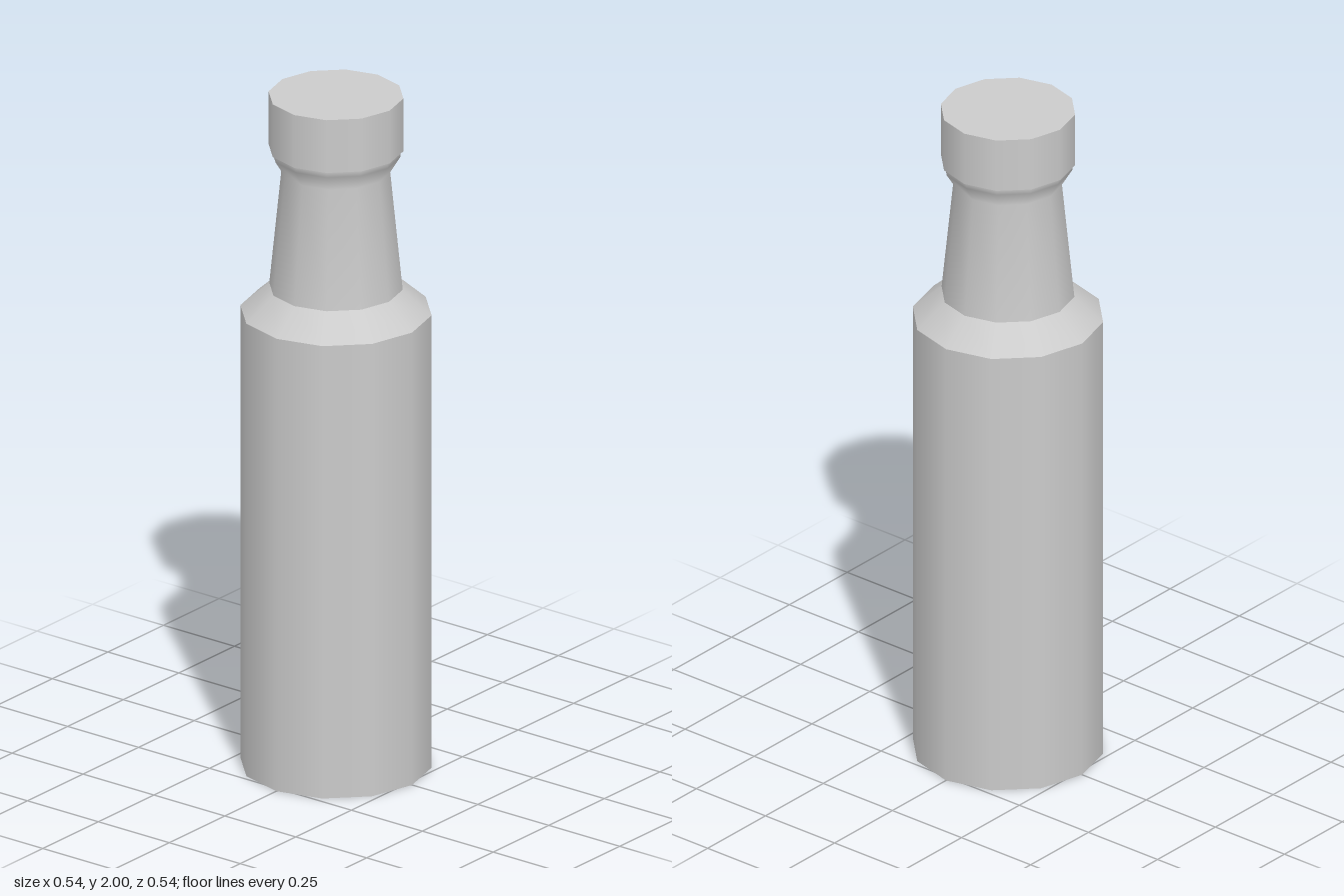
import * as THREE from 'three';

const SIDES = 12;

export function createModel() {
  const model = new THREE.Group();
  model.name = 'bottle';
  const material = new THREE.MeshStandardMaterial({ color: 0xcccccc });

  // Each part is a turned profile of [radius, height] points, from bottom to top;
  // separate parts keep the rims between them sharp.
  const turn = (name, profile) => {
    const points = profile.map(([r, y]) => new THREE.Vector2(r, y));
    const mesh = new THREE.Mesh(new THREE.LatheGeometry(points, SIDES), material);
    mesh.name = name;
    model.add(mesh);
  };

  // Flat twelve-sided disc, facing up or down
  const disc = (name, radius, y, up) => {
    const geometry = new THREE.CircleGeometry(radius, SIDES);
    geometry.rotateX(up ? -Math.PI / 2 : Math.PI / 2);
    const mesh = new THREE.Mesh(geometry, material);
    mesh.name = name;
    mesh.position.y = y;
    model.add(mesh);
  };

  disc('base', 0.268, 0, false);
  turn('body', [[0.268, 0], [0.268, 1.355]]);
  turn('shoulder', [[0.268, 1.355], [0.187, 1.427]]);
  // Tapered neck flaring out under the cap
  turn('neck', [[0.187, 1.427], [0.152, 1.777], [0.181, 1.825], [0.181, 1.842]]);
  disc('capUnderside', 0.189, 1.842, false);
  turn('cap', [[0.189, 1.842], [0.189, 2]]);
  disc('capTop', 0.189, 2, true);

  return model;
}
